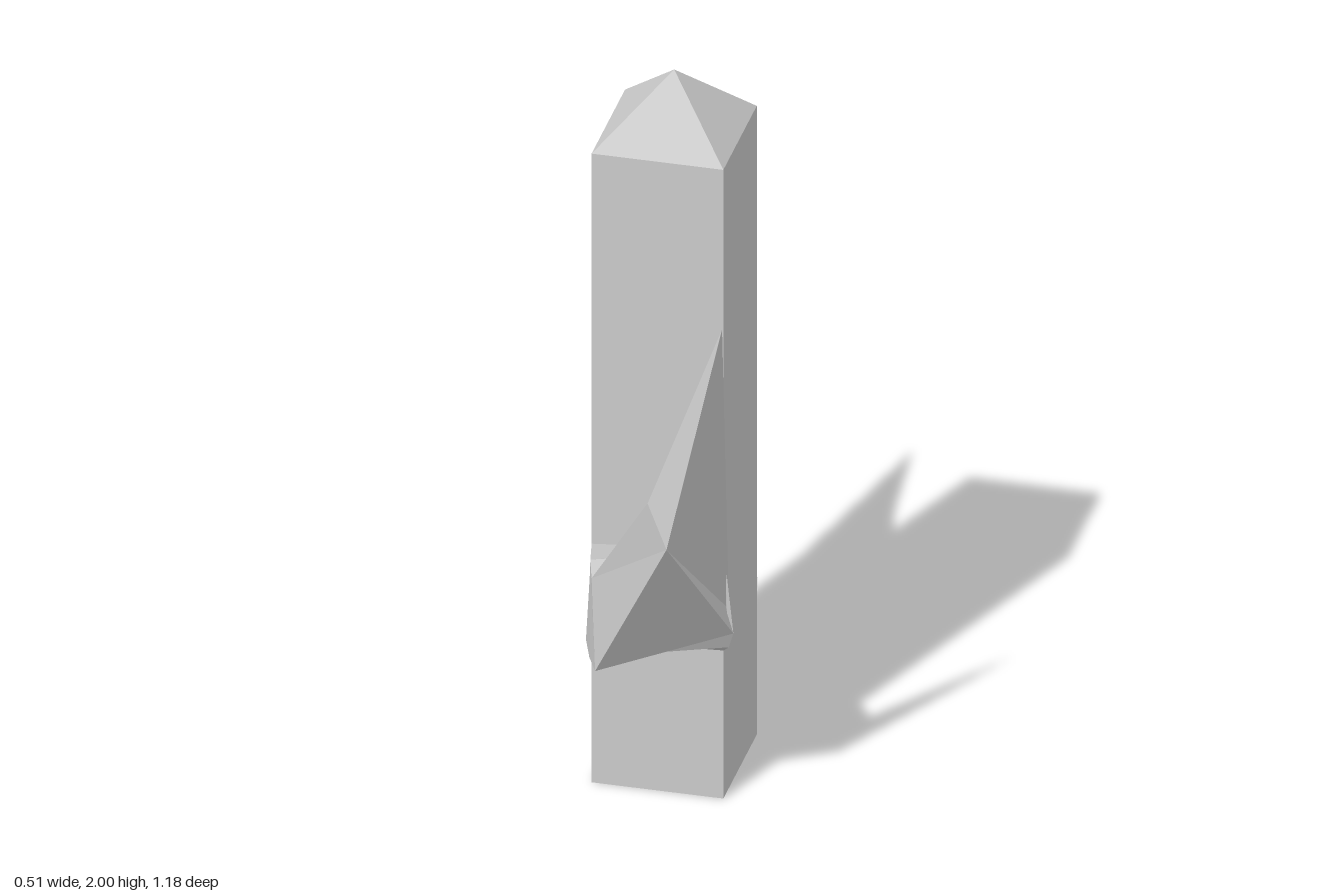
import * as THREE from 'three';

const grey = () => new THREE.MeshStandardMaterial({ color: 0xcccccc, flatShading: true, side: THREE.DoubleSide });

// Skin a list of four-cornered cross-sections, wound counter-clockwise along the arm
function loft(rings) {
  const pos = [];
  for (let r = 0; r + 1 < rings.length; r++) {
    const a = rings[r], b = rings[r + 1];
    for (let i = 0; i < 4; i++) {
      const j = (i + 1) % 4;
      for (const tri of [[a[i], a[j], b[j]], [a[i], b[j], b[i]]]) {
        // skip triangles collapsed by shared corners
        if (new Set(tri).size === 3) pos.push(...tri.flat());
      }
    }
  }
  const g = new THREE.BufferGeometry();
  g.setAttribute('position', new THREE.Float32BufferAttribute(pos, 3));
  g.computeVertexNormals();
  return g;
}

function armGeometry() {
  // elbow corners
  const elbowTop = [0.205, 0.77, 0.27];
  const heelLow = [-0.085, 0.485, 0.458], heelHigh = [-0.1, 0.74, 0.435];
  // corners at the foot of the spike
  const outerHigh = [0.08, 1.053, 0.567], outerLow = [0.135, 0.937, 0.588];
  const barb = [0.237, 0.553, 0.3], inner = [0.21, 0.588, 0.24];
  const tip = [0.255, 1.54, 0.488];
  // each section: bottom left, bottom right, top right, top left
  return loft([
    [[-0.18, 0.413, 0.178], [0.18, 0.43, 0.178], [0.18, 0.725, 0.178], [-0.165, 0.693, 0.178]],
    [[-0.125, 0.467, 0.36], [0.22, 0.5, 0.28], elbowTop, [-0.125, 0.745, 0.35]],
    [heelLow, barb, elbowTop, heelHigh],
    [outerLow, barb, inner, outerHigh],
    [outerLow, inner, inner, outerHigh],
    [tip, tip, tip, tip],
  ]);
}

export function createModel() {
  const model = new THREE.Group();
  model.name = 'pillarWithArms';
  const add = (name, geometry, x, y, z) => {
    const mesh = new THREE.Mesh(geometry, grey());
    mesh.name = name;
    mesh.position.set(x, y, z);
    model.add(mesh);
    return mesh;
  };

  // Square trunk with a pyramid cap
  const width = 0.345, height = 1.825, cx = 0.007, cz = 0.005;
  add('trunk', new THREE.BoxGeometry(width, height, width), cx, height / 2, cz);
  const cap = new THREE.ConeGeometry(width / Math.SQRT2, 2 - height, 4, 1, true).rotateY(Math.PI / 4);
  add('cap', cap, cx, (2 + height) / 2, cz);

  // Two bent, pointed arms, half a turn apart
  const arm = armGeometry();
  add('frontArm', arm, 0, 0, 0);
  add('backArm', arm, 0, 0, 0).rotation.y = Math.PI;
  return model;
}
